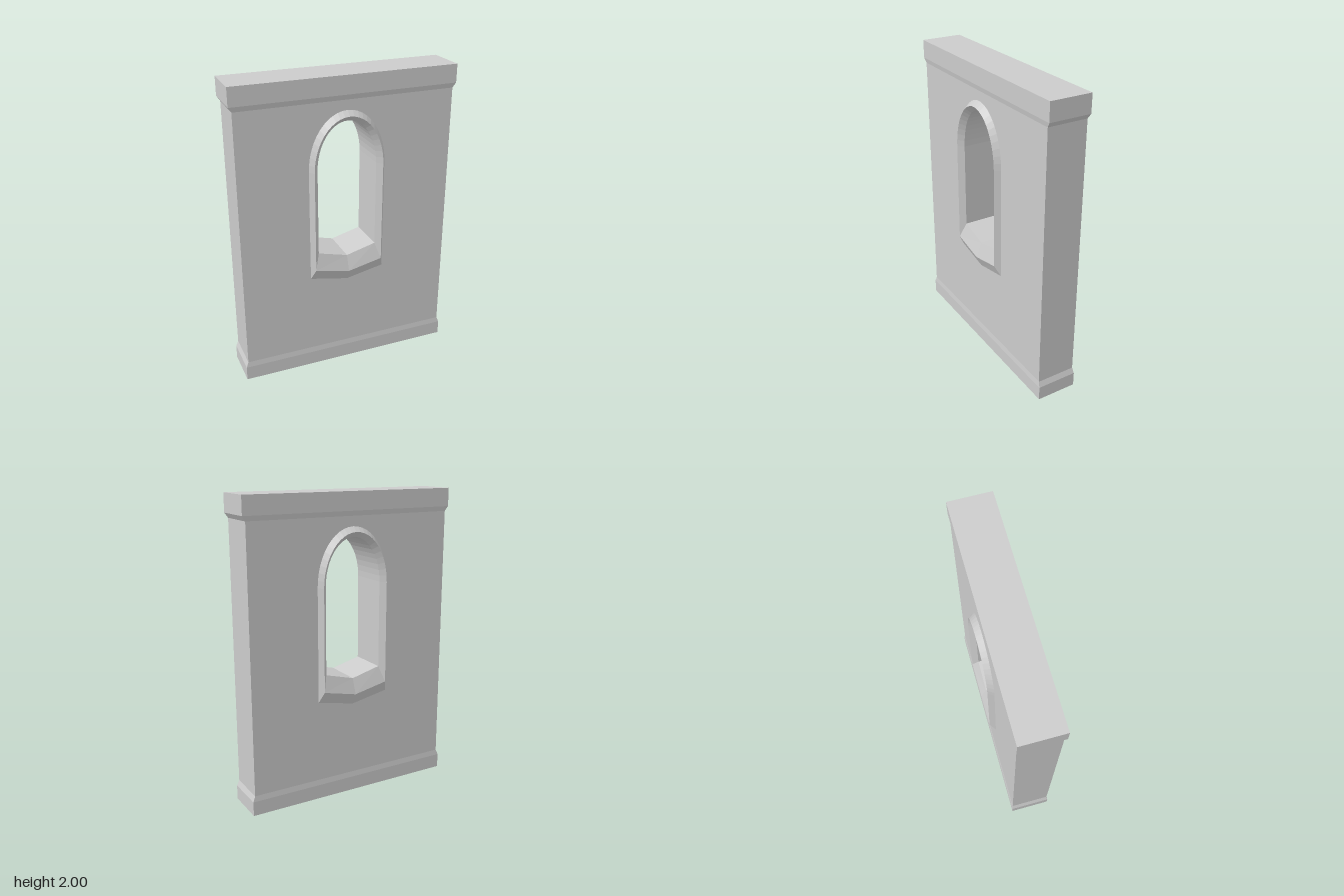
import * as THREE from 'three';

const WALL = { halfW: 0.713, halfD: 0.131, bottom: 0.132, top: 1.85 };
const OPENING_X = -0.004;
const SPRING = 1.42;
const ARCH_STEPS = 24;

// Arched outline with a V-shaped sill, counter-clockwise from the sill centre
function archLoop(halfW, top, corner, centre) {
  const points = [new THREE.Vector2(0, centre), new THREE.Vector2(halfW, corner)];
  for (let i = 0; i <= ARCH_STEPS; i++) {
    const a = (Math.PI * i) / ARCH_STEPS;
    points.push(new THREE.Vector2(halfW * Math.cos(a), SPRING + (top - SPRING) * Math.sin(a)));
  }
  points.push(new THREE.Vector2(-halfW, corner));
  return points;
}

// Faceted surface through rings of { loop, z }
function loftRings(rings) {
  const positions = [];
  for (let r = 0; r < rings.length - 1; r++) {
    const a = rings[r], b = rings[r + 1], n = a.loop.length;
    for (let i = 0; i < n; i++) {
      const j = (i + 1) % n;
      const corners = [[a, i], [a, j], [b, j], [a, i], [b, j], [b, i]];
      for (const [ring, k] of corners) positions.push(ring.loop[k].x, ring.loop[k].y, ring.z);
    }
  }
  const geometry = new THREE.BufferGeometry();
  geometry.setAttribute('position', new THREE.Float32BufferAttribute(positions, 3));
  geometry.computeVertexNormals();
  return geometry;
}

// Block whose end at y = neck tapers to the wall's section
function band(halfW, halfD, outer, shoulder, neck) {
  const geometry = new THREE.BoxGeometry(2, 1, 2, 1, 2, 1).toNonIndexed();
  const p = geometry.attributes.position;
  const levels = outer < neck ? [outer, shoulder, neck] : [neck, shoulder, outer];
  for (let i = 0; i < p.count; i++) {
    const y = levels[Math.round((p.getY(i) + 0.5) * 2)];
    const atNeck = y === neck;
    p.setXYZ(i, p.getX(i) * (atNeck ? WALL.halfW : halfW), y,
      p.getZ(i) * (atNeck ? WALL.halfD : halfD));
  }
  geometry.computeVertexNormals();
  return geometry;
}

export function createModel() {
  const model = new THREE.Group();
  model.name = 'archedWindowWall';
  const material = new THREE.MeshStandardMaterial({ color: 0xcccccc, flatShading: true });
  const add = (name, geometry) => {
    const mesh = new THREE.Mesh(geometry, material);
    mesh.name = name;
    model.add(mesh);
    return mesh;
  };

  const inner = archLoop(0.198, 1.72, 0.85, 0.798);
  const ridge = archLoop(0.23, 1.754, 0.747, 0.697);
  const outer = archLoop(0.255, 1.786, 0.673, 0.622);

  // Wall panel pierced by the window
  const { halfW, halfD, bottom, top } = WALL;
  const panel = new THREE.Shape([
    new THREE.Vector2(-halfW, bottom), new THREE.Vector2(halfW, bottom),
    new THREE.Vector2(halfW, top), new THREE.Vector2(-halfW, top),
  ]);
  panel.holes.push(new THREE.Path(inner.map((v) => new THREE.Vector2(v.x + OPENING_X, v.y))));
  const wall = new THREE.ExtrudeGeometry(panel, { depth: 2 * halfD, bevelEnabled: false });
  wall.translate(0, 0, -halfD);
  add('wall', wall);

  // Plinth and coping
  add('plinth', band(0.728, 0.136, 0, 0.095, bottom));
  add('coping', band(0.734, 0.137, 2, 1.881, top));

  // Raised bevelled surround with sill, on both faces
  const surround = loftRings([
    { loop: outer, z: halfD }, { loop: ridge, z: 0.168 }, { loop: inner, z: halfD },
  ]);
  for (const [name, turn] of [['frontSurround', 0], ['backSurround', Math.PI]]) {
    const mesh = add(name, surround);
    mesh.rotation.y = turn;
    mesh.position.x = OPENING_X;
  }
  return model;
}
